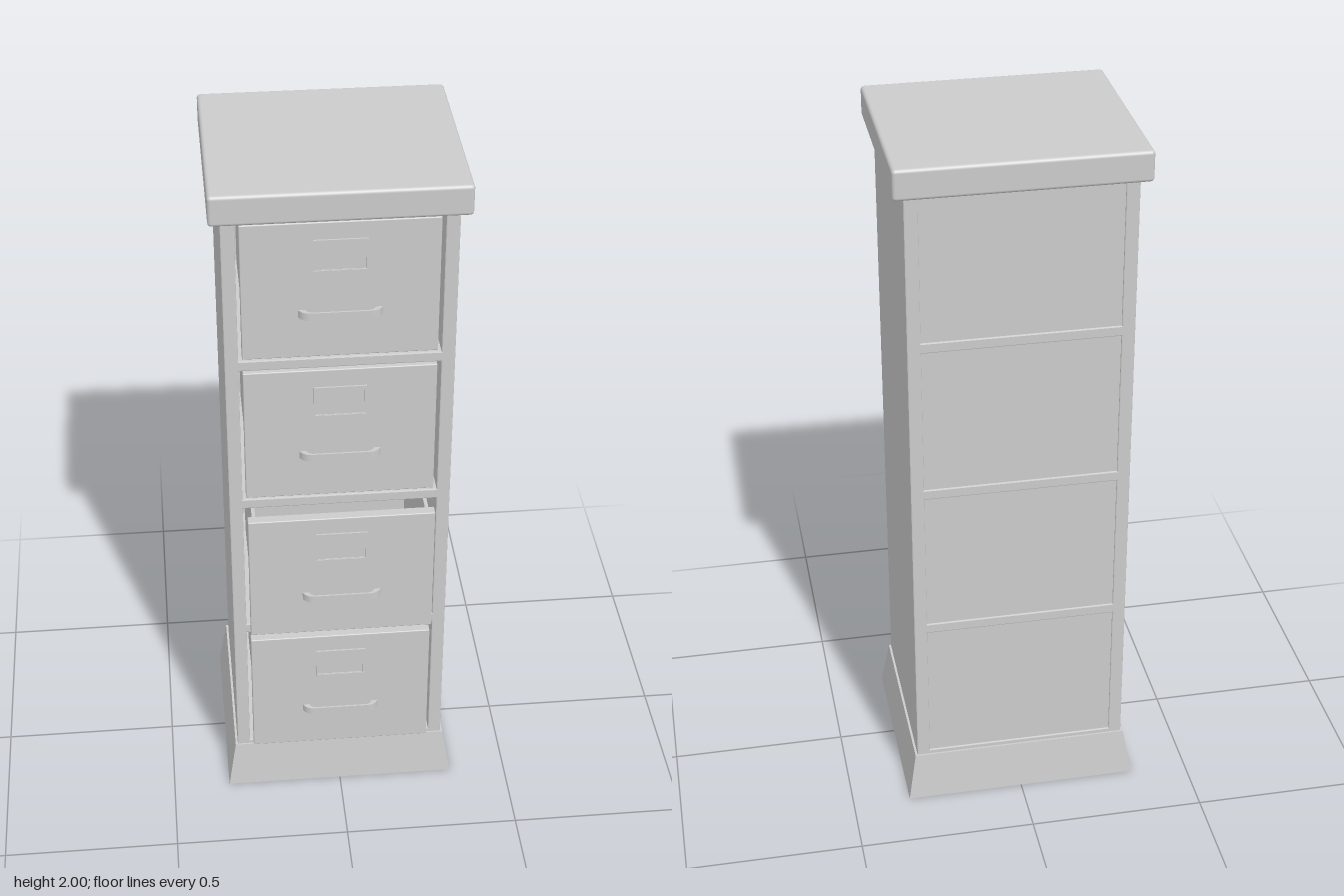
import * as THREE from 'three';
import { RoundedBoxGeometry } from 'three/addons/geometries/RoundedBoxGeometry.js';

const material = new THREE.MeshStandardMaterial({ color: 0xcccccc });
const CENTRE_Z = -0.027;
const BODY_BACK = -0.298, BODY_FRONT = 0.245;

// Drawer rows: opening bottom and top, and how far the face stands at z
const ROWS = [
  { bottom: 0.155, top: 0.575, face: 0.275 },
  { bottom: 0.605, top: 1.02, face: 0.303 },
  { bottom: 1.05, top: 1.47, face: 0.247 },
  { bottom: 1.5, top: 1.912, face: 0.247 },
];

function part(name, geometry, x = 0, y = 0, z = 0) {
  const mesh = new THREE.Mesh(geometry, material);
  mesh.name = name;
  mesh.position.set(x, y, z);
  return mesh;
}

function box(name, w, h, d, x, y, z) {
  return part(name, new THREE.BoxGeometry(w, h, d), x, y, z);
}

function rectangle(Type, x0, y0, x1, y1) {
  const r = new Type();
  r.moveTo(x0, y0);
  r.lineTo(x1, y0);
  r.lineTo(x1, y1);
  r.lineTo(x0, y1);
  r.closePath();
  return r;
}

// Cabinet: a front outline with drawer openings, extruded front to back
function cabinet() {
  const outline = rectangle(THREE.Shape, -0.305, 0.1, 0.305, 1.94);
  for (const { bottom, top } of ROWS) {
    outline.holes.push(rectangle(THREE.Path, -0.268, bottom, 0.268, top));
  }
  const b = 0.003;
  const geometry = new THREE.ExtrudeGeometry(outline, {
    depth: BODY_FRONT - BODY_BACK - 2 * b,
    bevelEnabled: true, bevelThickness: b, bevelSize: b, bevelOffset: -b, bevelSegments: 2,
  });
  return part('cabinetBody', geometry, 0, 0, BODY_BACK + b);
}

// Plinth: a box whose upper corners are drawn inwards
function plinth() {
  const geometry = new THREE.BoxGeometry(0.67, 0.142, 0.59);
  const p = geometry.attributes.position;
  for (let i = 0; i < p.count; i++) {
    if (p.getY(i) > 0) p.setXYZ(i, p.getX(i) * 0.93, p.getY(i), p.getZ(i) * 0.938);
  }
  geometry.computeVertexNormals();
  return part('plinth', geometry, 0, 0.071, CENTRE_Z);
}

// Handle: a bent flat strip seen from above, extruded upwards
function handle() {
  const s = new THREE.Shape();
  s.moveTo(-0.11, 0);
  s.quadraticCurveTo(-0.1, 0.02, -0.078, 0.02);
  s.lineTo(0.078, 0.02);
  s.quadraticCurveTo(0.1, 0.02, 0.11, 0);
  s.lineTo(0.092, 0);
  s.quadraticCurveTo(0.086, 0.015, 0.072, 0.015);
  s.lineTo(-0.072, 0.015);
  s.quadraticCurveTo(-0.086, 0.015, -0.092, 0);
  s.closePath();
  const geometry = new THREE.ExtrudeGeometry(s, { depth: 0.022, bevelEnabled: false, curveSegments: 8 });
  geometry.translate(0, 0, -0.011);
  geometry.rotateX(Math.PI / 2);
  return part('handle', geometry);
}

// Label holder: a thin frame with raised lips above and below
function labelHolder() {
  const group = new THREE.Group();
  group.name = 'labelHolder';
  const frame = rectangle(THREE.Shape, -0.071, -0.046, 0.071, 0.046);
  frame.holes.push(rectangle(THREE.Path, -0.065, -0.04, 0.065, 0.04));
  group.add(part('labelFrame', new THREE.ExtrudeGeometry(frame, { depth: 0.003, bevelEnabled: false })));
  for (const side of [-1, 1]) {
    group.add(box('labelLip', 0.142, 0.007, 0.005, 0, side * 0.0445, 0.0025));
  }
  return group;
}

// Drawer: front panel, open tray behind it, handle and label holder
function drawer({ bottom, top, face }) {
  const group = new THREE.Group();
  group.name = 'drawer';
  const h = top - bottom - 0.014;
  const panelDepth = 0.03, trayDepth = 0.45, wall = 0.01;
  const trayH = h - 0.03, trayZ = -panelDepth - trayDepth / 2;
  group.add(part('drawerFront', new RoundedBoxGeometry(0.516, h, panelDepth, 2, 0.003), 0, 0, -panelDepth / 2));
  for (const side of [-1, 1]) {
    group.add(box('traySide', wall, trayH, trayDepth, side * 0.24, 0, trayZ));
  }
  group.add(box('trayBottom', 0.48, wall, trayDepth, 0, -trayH / 2 + wall / 2, trayZ));
  group.add(box('trayBack', 0.48, trayH, wall, 0, 0, -panelDepth - trayDepth + wall / 2));

  const pull = handle();
  pull.position.y = -0.066;
  const label = labelHolder();
  label.position.y = 0.102;
  group.add(pull, label);
  group.position.set(0, (bottom + top) / 2, face);
  return group;
}

export function createModel() {
  const model = new THREE.Group();
  model.name = 'filingCabinet';
  model.add(plinth(), cabinet());
  model.add(box('backPanel', 0.56, 1.8, 0.01, 0, 1.02, BODY_BACK + 0.009));
  model.add(part('topSlab', new RoundedBoxGeometry(0.67, 0.085, 0.59, 3, 0.01), 0, 1.9575, CENTRE_Z));
  for (const row of ROWS) model.add(drawer(row));
  return model;
}
